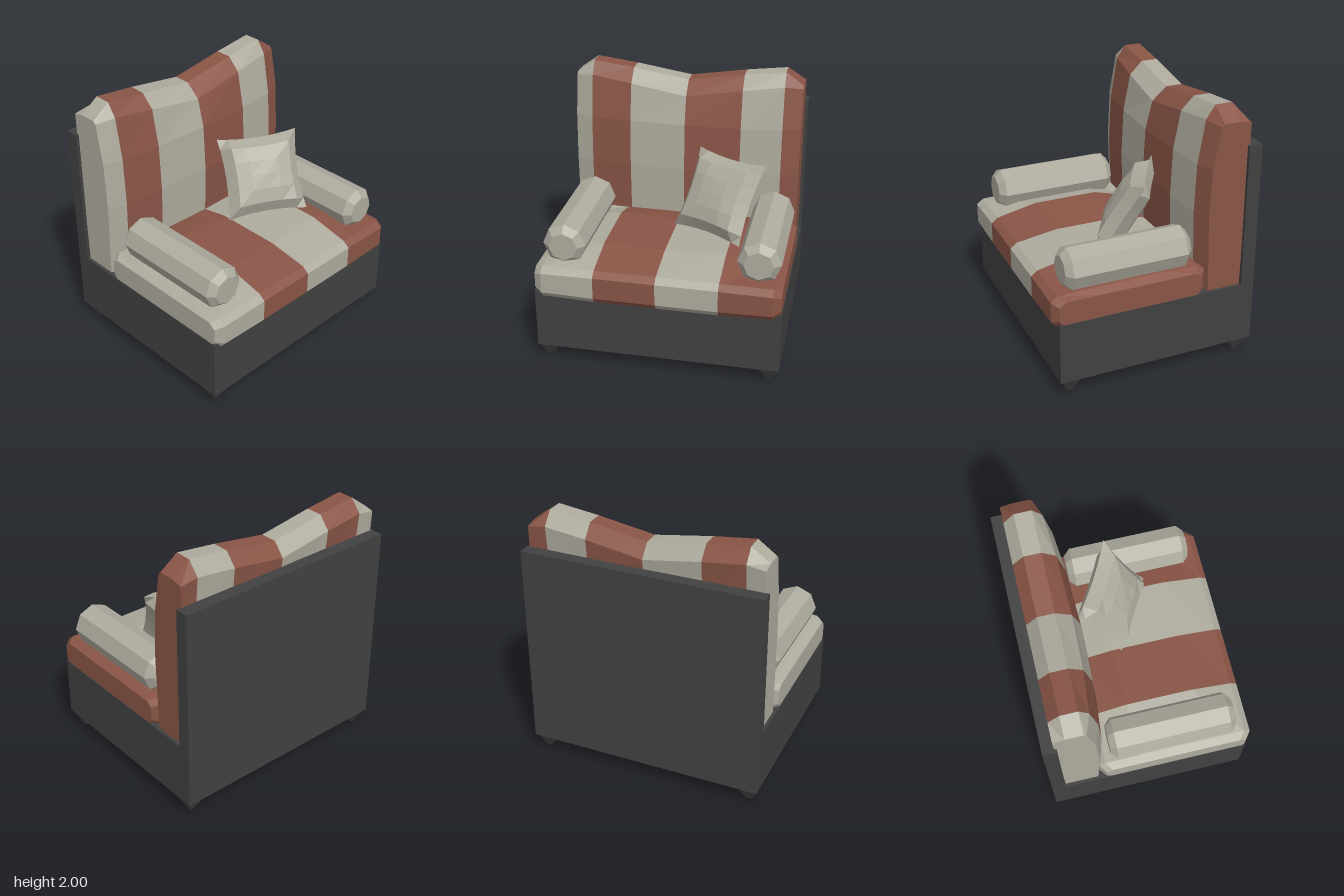
import * as THREE from 'three';

const material = (name, color) => {
  const m = new THREE.MeshStandardMaterial({ color });
  m.name = name;
  return m;
};

// Separate faces give crisp low-poly shading
function faceted(geometry) {
  const g = geometry.index ? geometry.toNonIndexed() : geometry;
  g.computeVertexNormals();
  return g;
}

function addMesh(parent, name, geometry, mat, x = 0, y = 0, z = 0) {
  const mesh = new THREE.Mesh(geometry, mat);
  mesh.name = name;
  mesh.position.set(x, y, z);
  parent.add(mesh);
  return mesh;
}

// Skins closed x-y profiles placed along z; each band has its own material index
function loft(sections, bands) {
  const pos = [], groups = [];
  const n = sections[0].points.length;
  const at = (k, i) => [...sections[k].points[i % n], sections[k].z];
  const tri = (a, b, c) => pos.push(...a, ...b, ...c);
  const last = sections.length - 1;
  for (let k = 0; k < last; k++) {
    const start = pos.length / 3;
    if (k === 0) for (let i = 1; i < n - 1; i++) tri(at(0, 0), at(0, i), at(0, i + 1));
    for (let i = 0; i < n; i++) {
      tri(at(k, i), at(k + 1, i), at(k + 1, i + 1));
      tri(at(k, i), at(k + 1, i + 1), at(k, i + 1));
    }
    if (k === last - 1) for (let i = 1; i < n - 1; i++) tri(at(last, 0), at(last, i + 1), at(last, i));
    groups.push([start, pos.length / 3 - start, bands[k]]);
  }
  const g = new THREE.BufferGeometry();
  g.setAttribute('position', new THREE.Float32BufferAttribute(pos, 3));
  groups.forEach(a => g.addGroup(...a));
  return faceted(g);
}

// Seat cushion profile: crown height, edge inset, bottom and shoulder heights
const seatSection = (z, crown, inset, low, shoulder) => ({
  z,
  points: [
    [-0.36 + inset, low], [-0.41 + inset, low + 0.06], [-0.41 + inset, shoulder - 0.03],
    [-0.36 + inset, shoulder], [-0.1, crown], [0.42, crown], [0.74 - inset, shoulder],
    [0.79 - inset, shoulder - 0.04], [0.79 - inset, low + 0.05], [0.75 - inset, low],
  ],
});

// Back cushion profile: top height, front bulge position
const backSection = (z, top, front, shoulder = top - 0.1) => ({
  z,
  points: [
    [-0.69, 0.58], [-0.69, 1.6], [-0.715, shoulder], [-0.63, top], [-0.5, top],
    [Math.min(front - 0.07, -0.385), shoulder], [front - 0.015, 1.57], [front, 1.2], [front - 0.02, 0.58],
  ],
});

// One puffed face of the square pillow, pinched between its corners
function pillowFace() {
  const steps = [-1, -0.75, -0.38, 0, 0.38, 0.75, 1];
  const g = new THREE.PlaneGeometry(2, 2, 6, 6);
  const p = g.attributes.position;
  const height = { 1: 0, 0.75: 0.085, 0.38: 0.11, 0: 0.118 };
  for (let i = 0; i < p.count; i++) {
    const s = steps[Math.round((p.getX(i) + 1) * 3)];
    const t = steps[Math.round((p.getY(i) + 1) * 3)];
    p.setXYZ(i,
      s * 0.32 * (1 - 0.09 * (1 - t * t)),
      t * 0.32 * (1 - 0.09 * (1 - s * s)),
      height[Math.max(Math.abs(s), Math.abs(t))]);
  }
  return faceted(g);
}

export function createModel() {
  const model = new THREE.Group();
  model.name = 'armchair';
  const dark = material('charcoal frame', 0x414141);
  const beige = material('beige fabric', 0xaeab9e);
  const rust = material('rust fabric', 0x895546);
  const stripes = [beige, rust];

  // Frame
  addMesh(model, 'base', new THREE.BoxGeometry(1.55, 0.48, 1.85), dark, -0.025, 0.36, 0);
  addMesh(model, 'backPanel', new THREE.BoxGeometry(0.105, 1.115, 1.85), dark, -0.7475, 1.1575, 0);

  // Four tapered square legs
  const leg = new THREE.CylinderGeometry(0.075 * Math.SQRT2, 0.018 * Math.SQRT2, 0.12, 4);
  leg.rotateY(Math.PI / 4);
  const legGeometry = faceted(leg);
  for (const x of [-0.71, 0.663])
    for (const z of [-0.845, 0.845]) addMesh(model, 'leg', legGeometry, dark, x, 0.06, z);

  // Striped seat cushion
  addMesh(model, 'seatCushion', loft([
    seatSection(-0.92, 0.78, 0.045, 0.58, 0.78),
    seatSection(-0.86, 0.815, 0, 0.56, 0.805),
    seatSection(-0.465, 0.88, 0, 0.55, 0.81),
    seatSection(0, 0.86, 0, 0.55, 0.81),
    seatSection(0.465, 0.88, 0, 0.55, 0.81),
    seatSection(0.86, 0.815, 0, 0.56, 0.805),
    seatSection(0.92, 0.78, 0.045, 0.58, 0.78),
  ], [1, 1, 0, 1, 0, 0]), stripes);

  // Striped back cushion with a dipped top edge
  addMesh(model, 'backCushion', loft([
    backSection(-0.9, 1.9, -0.41, 1.88),
    backSection(-0.76, 2, -0.36),
    backSection(-0.44, 1.96, -0.33),
    backSection(0, 1.89, -0.315),
    backSection(0.44, 1.96, -0.33),
    backSection(0.76, 2, -0.36),
    backSection(0.9, 1.9, -0.41, 1.88),
  ], [1, 0, 1, 0, 1, 0]), stripes);

  // Octagonal arm bolsters
  const outline = [[0, -0.49], [0.11, -0.49], [0.163, -0.44], [0.163, 0.44], [0.11, 0.49], [0, 0.49]];
  const bolster = new THREE.LatheGeometry(outline.map(p => new THREE.Vector2(...p)), 8);
  bolster.rotateZ(Math.PI / 2);
  const bolsterGeometry = faceted(bolster);
  for (const z of [-0.735, 0.717]) addMesh(model, 'armBolster', bolsterGeometry, beige, 0.18, 0.94, z);

  // Throw pillow leaning against the back
  const pillow = new THREE.Group();
  pillow.name = 'throwPillow';
  const face = pillowFace();
  addMesh(pillow, 'pillowFront', face, beige);
  addMesh(pillow, 'pillowBack', face, beige).rotation.y = Math.PI;
  const u = new THREE.Vector3(0.315, 0.015, -0.555).normalize();
  const n = u.clone().cross(new THREE.Vector3(-0.29, 0.55, -0.145)).normalize();
  const v = n.clone().cross(u);
  pillow.setRotationFromMatrix(new THREE.Matrix4().makeBasis(u, v, n));
  pillow.position.set(-0.02, 1.14, -0.335);
  model.add(pillow);

  return model;
}
